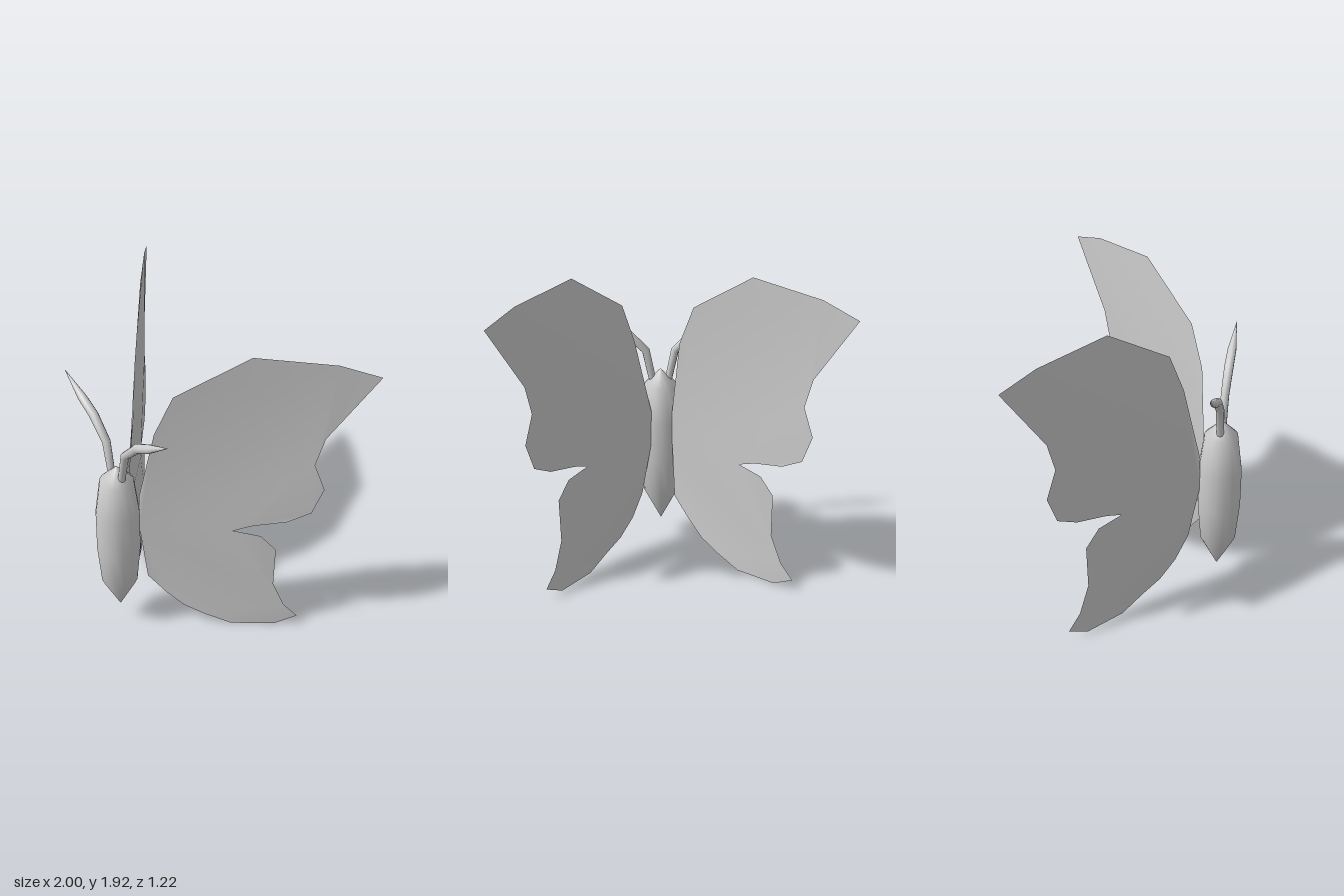
import * as THREE from 'three';

const BODY_X = 0.05, BODY_Z = 0.48;
const grey = new THREE.MeshStandardMaterial({ color: 0xcccccc });
const thin = new THREE.MeshStandardMaterial({ color: 0xcccccc, side: THREE.DoubleSide });

// Wing outline: distance from the hinge, height, bulge out of the wing plane
const OUTLINE = [
  [0, 0.70, 0], [0.05, 0.36, 0.035], [0.155, 0.23, 0.024], [0.268, 0.13, 0.027],
  [0.395, 0.07, 0.03], [0.555, 0, 0.022], [0.82, 0, 0.004], [0.955, 0.07, 0],
  [0.87, 0.16, 0.007], [0.8, 0.33, 0.017], [0.805, 0.6, 0.022], [0.713, 0.7, 0.025],
  [0.551, 0.73, 0.026], [0.664, 0.77, 0.022], [0.862, 0.81, 0.02], [0.997, 0.88, 0.013],
  [1.061, 1.05, 0.009], [0.997, 1.22, 0.012], [1.047, 1.4, 0.008], [1.324, 1.81, 0],
  [1.089, 1.88, 0.01], [0.628, 1.92, 0.035], [0.203, 1.65, 0.045], [0.097, 1.4, 0.047],
  [0, 0.92, 0],
];

function wingGeometry() {
  const contour = OUTLINE.map(([u, y]) => new THREE.Vector2(u, y));
  const geo = new THREE.BufferGeometry();
  geo.setAttribute('position', new THREE.Float32BufferAttribute(OUTLINE.flat(), 3));
  geo.setIndex(THREE.ShapeUtils.triangulateShape(contour, []).flat());
  geo.computeVertexNormals();
  return geo;
}

// Round rod through [x, y, radius] stations lying in the z = 0 plane
function rodGeometry(stations, sides = 10) {
  const pos = [], index = [];
  stations.forEach(([x, y, r], i) => {
    const a = stations[Math.max(i - 1, 0)], b = stations[Math.min(i + 1, stations.length - 1)];
    const len = Math.hypot(b[0] - a[0], b[1] - a[1]);
    const nx = (b[1] - a[1]) / len, ny = -(b[0] - a[0]) / len;
    for (let k = 0; k < sides; k++) {
      const t = (k / sides) * Math.PI * 2, c = r * Math.cos(t);
      pos.push(x + nx * c, y + ny * c, r * Math.sin(t));
      if (i === 0) continue;
      const k2 = (k + 1) % sides, p = (i - 1) * sides, q = i * sides;
      index.push(p + k, q + k, p + k2, p + k2, q + k, q + k2);
    }
  });
  const geo = new THREE.BufferGeometry();
  geo.setAttribute('position', new THREE.Float32BufferAttribute(pos, 3));
  geo.setIndex(index);
  geo.computeVertexNormals();
  return geo;
}

export function createModel() {
  const group = new THREE.Group();
  const add = (name, geo, mat, x, z, turn = 0) => {
    const mesh = new THREE.Mesh(geo, mat);
    mesh.name = name;
    mesh.position.set(x, 0, z);
    mesh.rotation.y = turn;
    group.add(mesh);
  };

  // Spindle-shaped body
  const profile = [[0, 0.12], [0.108, 0.33], [0.13, 0.58], [0.13, 0.83], [0.1, 1.06], [0, 1.16]];
  add('body', new THREE.LatheGeometry(profile.map(([r, y]) => new THREE.Vector2(r, y)), 16),
    grey, BODY_X, BODY_Z);

  // The same cambered wing turned to each side, a right angle apart
  const wing = wingGeometry(), spread = THREE.MathUtils.degToRad(47.8);
  add('leftWing', wing, thin, 0.11, 0.37, spread);
  add('rightWing', wing, thin, -0.02, 0.37, spread + Math.PI / 2);

  // Bent feelers tapering to a point
  const feeler = rodGeometry([[0.045, 1.06, 0.018], [0.05, 1.09, 0.022], [0.09, 1.28, 0.025],
    [0.21, 1.4, 0.028], [0.32, 1.46, 0.026], [0.49, 1.56, 0.0005]]);
  add('leftAntenna', feeler, thin, BODY_X, BODY_Z);
  add('rightAntenna', feeler, thin, BODY_X, BODY_Z, Math.PI);
  return group;
}
